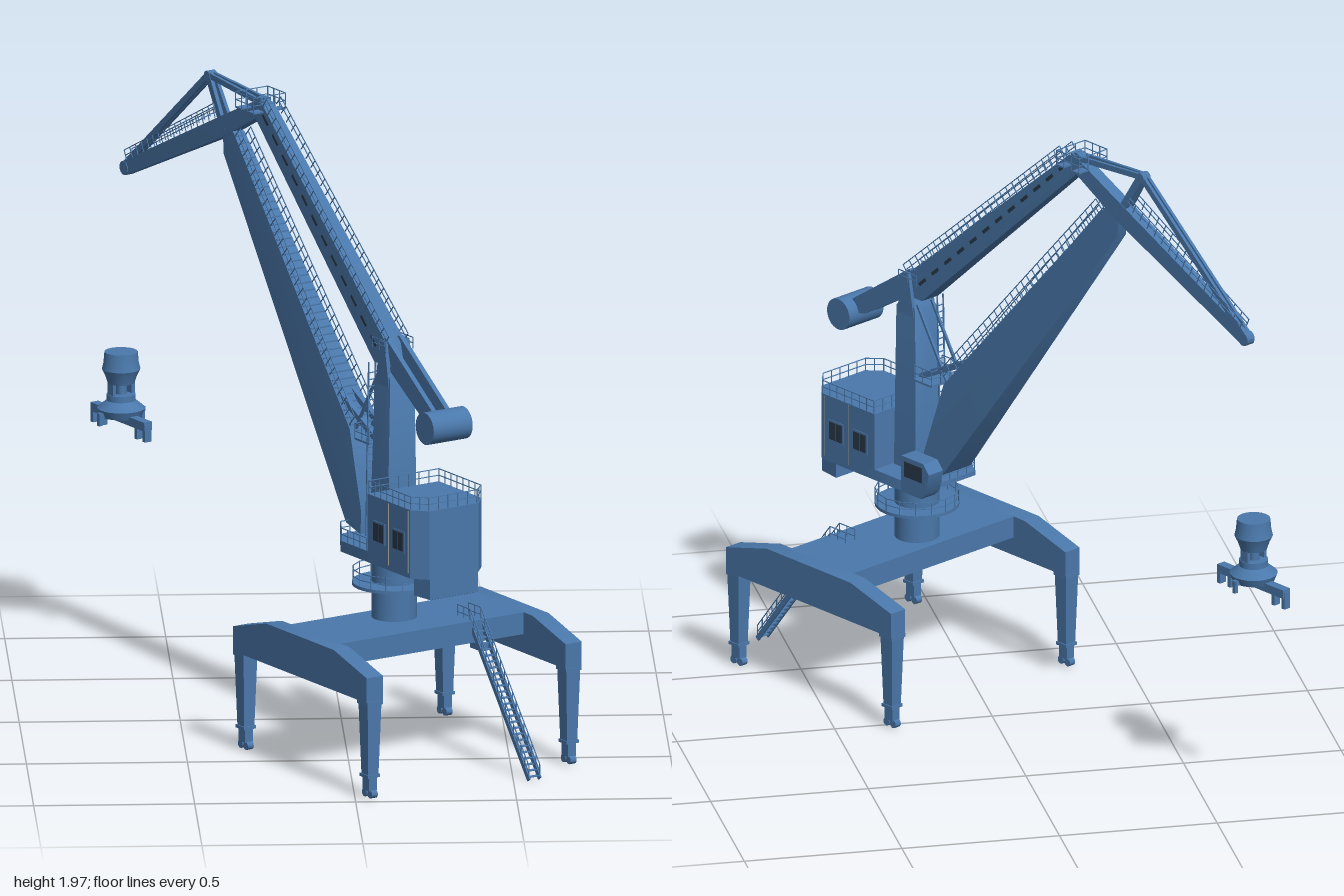
import * as THREE from 'three';
import { mergeGeometries, toCreasedNormals } from 'three/addons/utils/BufferGeometryUtils.js';
import { ConvexGeometry } from 'three/addons/geometries/ConvexGeometry.js';

const blue = new THREE.MeshStandardMaterial({ color: 0x4a78ab });
const dark = new THREE.MeshStandardMaterial({ color: 0x2a3a4c });
const cream = new THREE.MeshStandardMaterial({ color: 0xb9b3a0 });
const V = (x, y, z) => new THREE.Vector3(x, y, z);

// Box running from a to b, w wide and h deep
function beam(a, b, w, h = w) {
  const d = b.clone().sub(a), len = d.length();
  d.normalize();
  const up = Math.abs(d.y) > 0.999 ? V(0, 0, 1) : V(0, 1, 0);
  const x = up.cross(d).normalize(), y = d.clone().cross(x);
  const m = new THREE.Matrix4().makeBasis(x, y, d).setPosition(a.clone().add(b).multiplyScalar(0.5));
  return new THREE.BoxGeometry(w, h, len).applyMatrix4(m);
}

const box = (w, h, d, x, y, z) => new THREE.BoxGeometry(w, h, d).translate(x, y, z);

// Convex solid from [z, y, halfWidth] points mirrored across x
const hull = (pts, x = 0) => new ConvexGeometry(
  pts.flatMap(([z, y, w]) => [V(x - w, y, z), V(x + w, y, z)]));

const cyl = (r1, r2, h, x, y, z, n = 24) => new THREE.CylinderGeometry(r1, r2, h, n).translate(x, y, z);

// Handrail following a path: posts plus two rails, raised along "up"
function rail(pts, up = V(0, 0.035, 0), step = 0.035, t = 0.0025) {
  const out = [];
  for (let i = 0; i + 1 < pts.length; i++) {
    const a = pts[i], b = pts[i + 1], n = Math.max(1, Math.round(a.distanceTo(b) / step));
    for (const k of [0.5, 1]) out.push(beam(a.clone().addScaledVector(up, k), b.clone().addScaledVector(up, k), t));
    for (let j = 0; j <= n; j++) {
      const p = a.clone().lerp(b, j / n);
      out.push(beam(p, p.clone().add(up), t));
    }
  }
  return out;
}

function add(parent, name, geos, mat = blue) {
  const list = [geos].flat().map(g => {
    const f = g.index ? g.toNonIndexed() : g;
    f.deleteAttribute('uv');
    return f;
  });
  const mesh = new THREE.Mesh(toCreasedNormals(mergeGeometries(list), 0.6), mat);
  mesh.name = name;
  parent.add(mesh);
  return mesh;
}

function buildPortal() {
  const g = new THREE.Group();
  g.name = 'portal';
  g.position.set(0.02, 0, 0.043);
  for (const s of [-1, 1]) {
    const x = s * 0.37;
    add(g, 'sideBeam', hull([[-0.375, 0.32, 0.03], [-0.375, 0.4, 0.03], [-0.19, 0.45, 0.03],
      [0.19, 0.45, 0.03], [0.375, 0.4, 0.03], [0.375, 0.32, 0.03]], x));
    for (const e of [-1, 1]) {
      const z = e * 0.348, leg = (y, r) => [[z - r, y, r], [z + r, y, r]];
      add(g, 'leg', [hull([...leg(0.32, 0.026), ...leg(0.08, 0.019)], x),
        box(0.058, 0.012, 0.058, x, 0.315, z), box(0.046, 0.01, 0.046, x, 0.08, z)]);
      const bogie = [box(0.03, 0.045, 0.036, x, 0.055, z)];
      for (const k of [-1, 1])
        bogie.push(new THREE.CylinderGeometry(0.013, 0.013, 0.022, 14).rotateZ(Math.PI / 2).translate(x, 0.022, z + k * 0.015));
      add(g, 'bogie', bogie);
    }
  }
  add(g, 'crossGirder', box(0.7, 0.07, 0.28, 0, 0.415, 0));
  return g;
}

function buildStairs() {
  const g = new THREE.Group();
  g.name = 'accessStairs';
  const a = V(0.19, 0.01, 0.5), b = V(0.19, 0.44, 0.17), parts = [];
  for (const s of [-0.02, 0.02]) {
    const o = V(s, 0, 0), p = a.clone().add(o), q = b.clone().add(o);
    parts.push(beam(p, q, 0.005, 0.016), ...rail([p, q, V(q.x, q.y, 0.1)], V(0, 0.045, 0)));
  }
  for (let i = 0; i < 26; i++) {
    const p = a.clone().lerp(b, (i + 0.5) / 26);
    parts.push(box(0.04, 0.003, 0.014, p.x, p.y, p.z));
  }
  parts.push(box(0.045, 0.008, 0.09, 0.19, 0.44, 0.13), box(0.03, 0.02, 0.06, 0.19, 0.37, 0.19));
  add(g, 'stairs', parts);
  return g;
}

function buildSlewing() {
  const g = new THREE.Group();
  g.name = 'slewingPart';
  add(g, 'column', [cyl(0.07, 0.07, 0.22, 0, 0.555, 0, 32), cyl(0.08, 0.08, 0.02, 0, 0.645, 0, 32)]);
  add(g, 'ringPlatform', cyl(0.132, 0.132, 0.01, 0, 0.56, 0, 24));
  const ring = Array.from({ length: 17 }, (_, i) => V(Math.cos(i * Math.PI / 8) * 0.13, 0.565, Math.sin(i * Math.PI / 8) * 0.13));
  add(g, 'ringRailing', rail(ring, V(0, 0.042, 0), 0.06));

  // Deck and machinery house with chamfered rear corners
  add(g, 'deck', hull([[-0.1, 0.655, 0.133], [-0.1, 0.69, 0.133], [0.1, 0.655, 0.133], [0.1, 0.69, 0.133],
    [-0.17, 0.675, 0.09], [-0.17, 0.69, 0.09]]));
  const deckEdge = [V(-0.13, 0.69, 0.04), V(-0.13, 0.69, -0.1), V(-0.088, 0.69, -0.168), V(0.088, 0.69, -0.168)];
  add(g, 'deckRailing', rail(deckEdge, V(0, 0.04, 0)));
  const plan = [[0.05, 0.133], [0.29, 0.133], [0.335, 0.092]];
  add(g, 'machineryHouse', hull(plan.flatMap(([z, w]) => [[z, 0.655, w], [z, 0.875, w]])));
  add(g, 'rearBallast', hull([[0.26, 0.59, 0.1], [0.335, 0.59, 0.09], [0.26, 0.67, 0.1], [0.335, 0.67, 0.09]]));
  const roof = [[-0.13, 0.055], [-0.13, 0.29], [-0.09, 0.33], [0.09, 0.33], [0.13, 0.29], [0.13, 0.055], [-0.13, 0.055]];
  add(g, 'roofRailing', rail(roof.map(([x, z]) => V(x, 0.875, z)), V(0, 0.042, 0)));
  for (const s of [-1, 1]) for (const z of [0.116, 0.225]) {
    add(g, 'windowFrame', box(0.003, 0.07, 0.068, s * 0.134, 0.763, z));
    add(g, 'windowPane', [-1, 1].map(k => box(0.004, 0.058, 0.027, s * 0.135, 0.763, z + k * 0.015)), dark);
    add(g, 'wallSeam', box(0.002, 0.2, 0.002, s * 0.1335, 0.77, z + 0.053), cream);
  }
  add(g, 'operatorCab', hull([[-0.21, 0.69, 0.03], [-0.225, 0.76, 0.03], [-0.2, 0.79, 0.03],
    [-0.1, 0.79, 0.03], [-0.1, 0.67, 0.03], [-0.19, 0.67, 0.03]], 0.13));
  add(g, 'cabWindow', [box(0.003, 0.05, 0.08, 0.161, 0.75, -0.155), box(0.003, 0.05, 0.08, 0.099, 0.75, -0.155)], dark);

  // Mast with pivot cheeks
  add(g, 'mast', hull([[-0.055, 0.67, 0.056], [0.045, 0.67, 0.056], [-0.04, 1.22, 0.045], [0.045, 1.22, 0.045], [-0.02, 1.25, 0.04], [0.025, 1.25, 0.04]]));
  add(g, 'pivotCheek', [-1, 1].map(s => hull([[-0.035, 1.2, 0.006], [0.04, 1.2, 0.006], [-0.01, 1.34, 0.006], [0.015, 1.34, 0.006]], s * 0.041)));
  const ladder = [];
  for (const s of [-0.055, -0.03]) ladder.push(beam(V(s, 0.7, -0.075), V(s, 1.26, -0.06), 0.004));
  for (let i = 0; i < 24; i++) ladder.push(box(0.025, 0.003, 0.003, -0.0425, 0.72 + i * 0.022, -0.0745 + i * 0.0006));
  add(g, 'mastLadder', ladder);
  add(g, 'mastPlatform', [box(0.12, 0.006, 0.08, 0, 1.0, -0.09),
    ...rail([V(-0.06, 1, -0.05), V(-0.06, 1, -0.13), V(0.06, 1, -0.13), V(0.06, 1, -0.05)], V(0, 0.05, 0))]);
  return g;
}

function buildBoom() {
  const g = new THREE.Group();
  g.name = 'boomSystem';
  // Main boom, tapering to the jib joint
  add(g, 'boom', hull([[-0.1, 0.7, 0.06], [-0.095, 0.77, 0.06], [-0.18, 0.72, 0.06], [-0.175, 1.02, 0.05], [-0.33, 0.93, 0.05],
    [-0.87, 1.81, 0.02], [-0.94, 1.84, 0.016], [-0.93, 1.73, 0.018]]));
  const walk = [];
  for (const s of [-1, 1]) walk.push(...rail([V(s * 0.045, 1.03, -0.185), V(s * 0.02, 1.8, -0.865)], V(0, 0.032, 0.03)));
  for (let i = 0; i < 40; i++) {
    const k = i / 39;
    walk.push(box(0.09 - 0.05 * k, 0.004, 0.01, 0, 1.03 + 0.77 * k, -0.183 - 0.682 * k));
  }
  add(g, 'boomWalkway', walk);

  // Luffing drive between mast and boom
  add(g, 'luffingDrive', [-1, 1].flatMap(s => [beam(V(s * 0.03, 1.24, -0.035), V(s * 0.03, 1.02, -0.17), 0.008),
    beam(V(s * 0.025, 1.0, -0.04), V(s * 0.025, 1.12, -0.28), 0.018)]));

  // Counterweight lever
  add(g, 'counterweightLever', [-1, 1].map(s => hull([[0.3, 1.115, 0.008], [0.27, 1.165, 0.008], [0.2, 1.14, 0.008],
    [0.0, 1.35, 0.008], [-0.04, 1.32, 0.008], [-0.01, 1.27, 0.008]], s * 0.025)));
  add(g, 'counterweight', new THREE.CylinderGeometry(0.051, 0.051, 0.145, 28).rotateZ(Math.PI / 2).translate(0, 1.125, 0.28));
  add(g, 'leverPlatform', rail([V(-0.05, 1.31, 0.03), V(-0.05, 1.31, -0.05)]).concat(rail([V(0.05, 1.31, 0.03), V(0.05, 1.31, -0.05)])));

  // Tie beam with walkway, running from lever pivot to jib heel
  add(g, 'tieBeam', hull([[0.01, 1.33, 0.035], [0.03, 1.26, 0.035], [-0.06, 1.26, 0.035], [-0.71, 1.94, 0.022], [-0.76, 1.94, 0.022], [-0.75, 1.89, 0.022]]));
  const tieWalk = [];
  for (const s of [-1, 1]) tieWalk.push(...rail([V(s * 0.036, 1.33, 0), V(s * 0.026, 1.935, -0.7)], V(0, 0.028, 0.024)));
  add(g, 'tieWalkway', tieWalk);
  const slots = [];
  for (const s of [-1, 1]) for (let i = 0; i < 12; i++) {
    const at = k => V(s * (0.0355 - 0.012 * k), 1.3 + 0.62 * k, -0.035 - 0.68 * k);
    slots.push(beam(at((i + 0.25) / 12), at((i + 0.75) / 12), 0.004, 0.01));
  }
  add(g, 'tieSlots', slots, dark);

  // Jib with king post and stays
  const heel = V(0, 1.925, -0.74), tip = V(0, 1.56, -1.495), apex = V(0, 1.96, -1.03);
  add(g, 'jib', hull([[-0.72, 1.955, 0.02], [-0.73, 1.895, 0.02], [-0.93, 1.785, 0.02], [-0.93, 1.855, 0.02],
    [-1.49, 1.535, 0.012], [-1.51, 1.55, 0.012], [-1.5, 1.58, 0.012]]));
  add(g, 'kingPost', [-1, 1].map(s => beam(V(s * 0.014, 1.8, -0.93), V(s * 0.008, 1.965, -1.032), 0.012, 0.025)));
  add(g, 'stays', [-1, 1].flatMap(s => [beam(V(s * 0.014, heel.y + 0.015, heel.z), V(s * 0.008, apex.y, apex.z), 0.01, 0.018),
    beam(V(s * 0.008, apex.y, apex.z), V(s * 0.008, tip.y + 0.01, tip.z), 0.01, 0.02)]));
  const pulley = (r, y, z) => new THREE.CylinderGeometry(r, r, 0.03, 20).rotateZ(Math.PI / 2).translate(0, y, z);
  add(g, 'pulleys', [pulley(0.022, 1.557, -1.497), pulley(0.016, 1.957, -1.03), pulley(0.03, 1.925, -0.74)]);
  const jibRail = [-1, 1].flatMap(s => rail([V(s * 0.02, 1.85, -0.97), V(s * 0.014, 1.585, -1.48)], V(0, 0.03, -0.014)));
  add(g, 'jibRailing', jibRail);
  const c = [[-0.06, -0.7], [-0.06, -0.8], [0.06, -0.8], [0.06, -0.7], [-0.06, -0.7]].map(([x, z]) => V(x, 1.915, z));
  add(g, 'headPlatform', [box(0.12, 0.005, 0.03, 0, 1.915, -0.715), box(0.12, 0.005, 0.03, 0, 1.915, -0.785), ...rail(c, V(0, 0.05, 0))]);
  return g;
}

function buildGrab() {
  const g = new THREE.Group();
  g.name = 'loadSpreader';
  g.position.set(-0.005, 0, -1.525);
  const lathe = p => new THREE.LatheGeometry(p.map(([r, y]) => new THREE.Vector2(r, y)), 24);
  add(g, 'rotatorPot', lathe([[0, 0.86], [0.042, 0.86], [0.05, 0.885], [0.06, 0.905], [0.055, 0.925], [0.052, 0.96], [0, 0.96]]));
  add(g, 'yoke', [-1, 1].map(s => box(0.012, 0.06, 0.03, s * 0.035, 0.84, 0)).concat(cyl(0.018, 0.018, 0.06, 0, 0.84, 0, 12)));
  add(g, 'spreaderHub', lathe([[0, 0.755], [0.065, 0.755], [0.075, 0.78], [0.045, 0.805], [0.045, 0.825], [0, 0.825]]));
  const arms = [box(0.03, 0.028, 0.3, 0, 0.752, 0), box(0.17, 0.016, 0.016, 0, 0.765, 0)];
  for (const s of [-1, 1]) {
    for (const z of [0.1, 0.146]) arms.push(box(0.024, 0.055, 0.014, 0, 0.73, s * z));
    arms.push(box(0.012, 0.035, 0.012, s * 0.079, 0.75, 0));
  }
  add(g, 'spreaderArms', arms);
  return g;
}

export function createModel() {
  const model = new THREE.Group();
  model.name = 'harbourCrane';
  const crane = new THREE.Group();
  crane.name = 'crane';
  crane.position.set(0.145, 0, 0.44);
  crane.rotation.y = 0.541;
  crane.add(buildPortal(), buildStairs(), buildSlewing(), buildBoom(), buildGrab());
  model.add(crane);
  return model;
}
